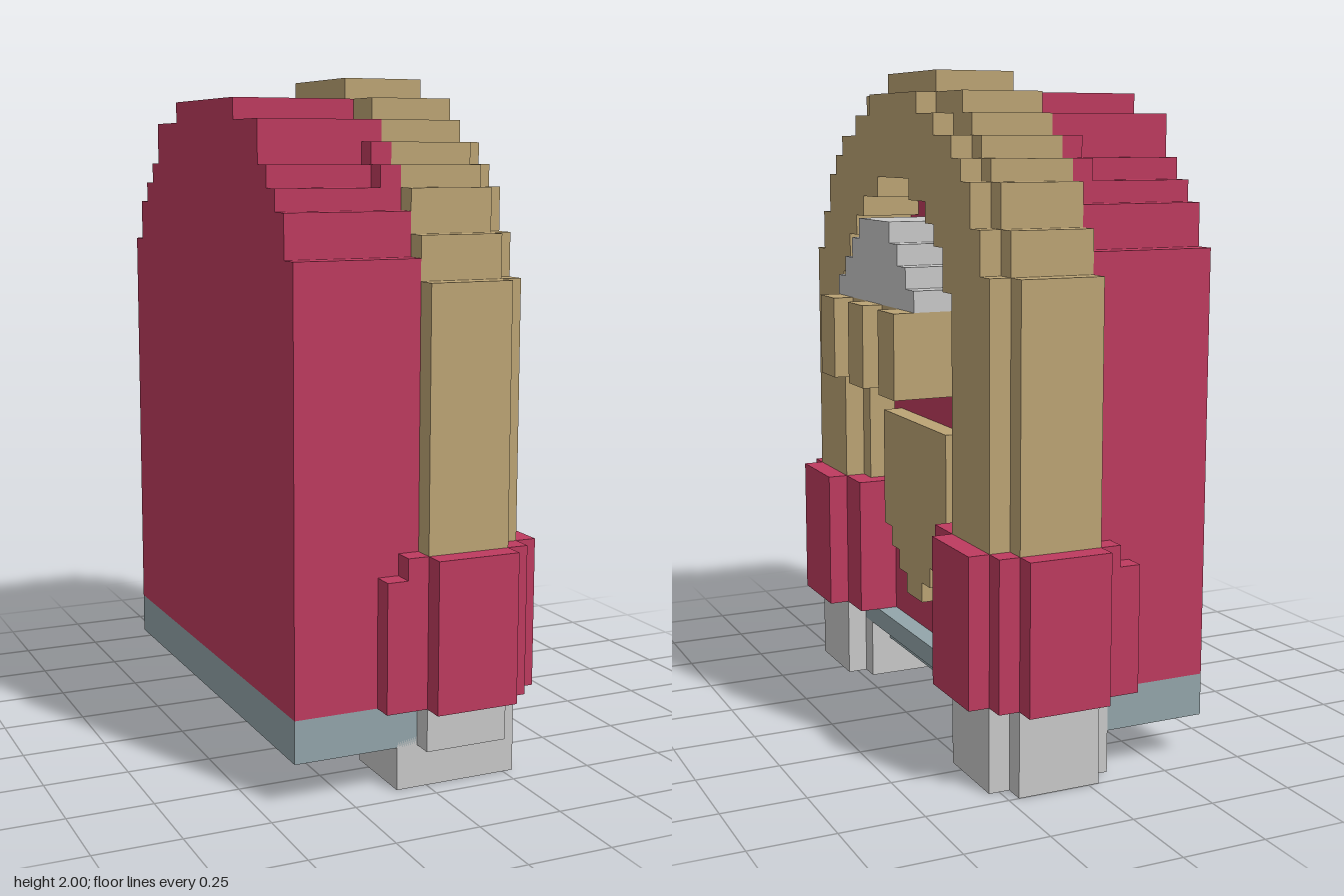
import * as THREE from 'three';

const U = 0.0625; // one block

const mat = (name, color) => {
  const m = new THREE.MeshStandardMaterial({ color });
  m.name = name;
  return m;
};

// Stepped right-hand edge from [bottom, top, halfWidth] bands
const edge = (bands) => bands.flatMap(([a, b, h]) => [[h, a], [h, b]]);
const mirror = (pts) => pts.map(([s, y]) => [-s, y]).reverse();

export function createModel() {
  const root = new THREE.Group();
  root.name = 'jukebox';
  const red = mat('crimson', 0xbe3b5f);
  const gold = mat('tan gold', 0xbca475);
  const silver = mat('silver', 0xc9c9c9);
  const slate = mat('slate blue', 0x93a5aa);

  const add = (parent, name, geo, material) => {
    const m = new THREE.Mesh(geo, material);
    m.name = name;
    parent.add(m);
    return m;
  };

  // Box from block corners: x counted from the back, y from the floor, z from the middle
  const box = (parent, name, material, x0, x1, y0, y1, z0, z1) => {
    const geo = new THREE.BoxGeometry((x1 - x0) * U, (y1 - y0) * U, (z1 - z0) * U);
    geo.translate(((x0 + x1) / 2 - 6.5) * U, ((y0 + y1) / 2) * U, ((z0 + z1) / 2) * U);
    return add(parent, name, geo, material);
  };

  // Symmetric outline in the z-y plane, extruded along x
  const slab = (name, material, x0, x1, pts) => {
    const shape = new THREE.Shape(pts.map(([s, y]) => new THREE.Vector2(s * U, y * U)));
    const geo = new THREE.ExtrudeGeometry(shape, { depth: (x1 - x0) * U, bevelEnabled: false });
    geo.rotateY(Math.PI / 2);
    geo.translate((x0 - 6.5) * U, 0, 0);
    return add(root, name, geo, material);
  };
  const solid = (name, material, x0, x1, bands) => {
    const e = edge(bands);
    return slab(name, material, x0, x1, [...e, ...mirror(e)]);
  };
  const arch = (name, material, x0, x1, outer, inner) => {
    const o = edge(outer), i = edge(inner);
    return slab(name, material, x0, x1, [...o, ...mirror(o), ...mirror(i).reverse(), ...i.slice().reverse()]);
  };

  // Cabinet with rounded top
  solid('cabinet', red, 0, 5,
    [[4, 24, 11], [24, 26, 10], [26, 27, 9], [27, 28, 8], [28, 30, 7], [30, 31, 4]]);
  solid('cabinetFrontEdge', red, 5, 6,
    [[4, 24, 11], [24, 26, 10], [26, 28, 9], [28, 29, 8], [29, 30, 7], [30, 31, 4]]);
  box(root, 'recessWall', red, 6, 8, 4, 27, -6.5, 6.5);
  box(root, 'lowerPanel', red, 8, 9, 4, 17, -5, 5);

  // Arched frame, with a stepped front layer
  const opening = [[24, 25, 5], [25, 26, 4], [26, 27, 2]];
  arch('archFrame', gold, 6, 10,
    [[4, 23, 12], [23, 25, 11], [25, 27, 10], [27, 28, 9], [28, 29, 8], [29, 30, 7], [30, 31, 6], [31, 32, 3]],
    [[4, 24, 6], ...opening]);
  arch('archFrontLayer', gold, 10, 11,
    [[4, 23, 11], [23, 25, 10], [25, 27, 9], [27, 28, 8], [28, 29, 7], [29, 30, 5], [30, 31, 3]],
    [[4, 22, 7], [22, 24, 6], ...opening]);

  // Display dome, key shelf, keys and speaker plate
  solid('displayDome', silver, 8, 12, [[21, 22, 5], [22, 23, 4], [23, 24, 3], [24, 25, 2]]);
  box(root, 'keyShelf', gold, 8, 12, 17, 21, -5, 5);
  for (const z of [-4, 0, 4]) box(root, 'key', gold, 12, 13, 17, 21, z - 1, z + 1);
  solid('speakerPlate', gold, 9, 10, [[6, 7, 1], [7, 8, 2], [8, 9, 3], [9, 15, 4]]);

  // Base tray, hollow underneath
  const base = new THREE.Group();
  base.name = 'base';
  root.add(base);
  box(base, 'baseDeck', slate, 0, 6, 3, 4, -11, 11);
  box(base, 'baseDeckFront', slate, 6, 10, 3, 4, -8, 8);
  box(base, 'rimBack', slate, 0, 1, 2, 3, -11, 11);
  box(base, 'rimFront', slate, 8, 9, 2, 3, -10, 10);
  for (const s of [-1, 1]) {
    const z = s * 10.5;
    box(base, 'rimSide', slate, 1, 9, 2, 3, z - 0.5, z + 0.5);
  }

  // Boots and feet on both sides
  for (const s of [-1, 1]) {
    const side = new THREE.Group();
    side.name = s > 0 ? 'leftLeg' : 'rightLeg';
    root.add(side);
    const part = (name, material, x0, x1, y0, y1, a, b) =>
      box(side, name, material, x0, x1, y0, y1, Math.min(a * s, b * s), Math.max(a * s, b * s));
    part('bootOuter', red, 6, 10, 4, 11, 12, 13);
    part('bootShell', red, 5, 11, 4, 11, 11, 12);
    part('bootHeel', red, 4, 5, 4, 10, 11, 12);
    part('bootCore', red, 6, 12, 4, 11, 7, 11);
    part('bootInner', red, 6, 11, 4, 11, 5, 7);
    part('footCore', silver, 5, 11, 0, 4, 7, 11);
    part('footInner', silver, 6, 10, 0, 4, 6, 7);
    part('footOuter', silver, 6, 10, s > 0 ? 2 : 0, 4, 11, 12);
  }
  return root;
}
